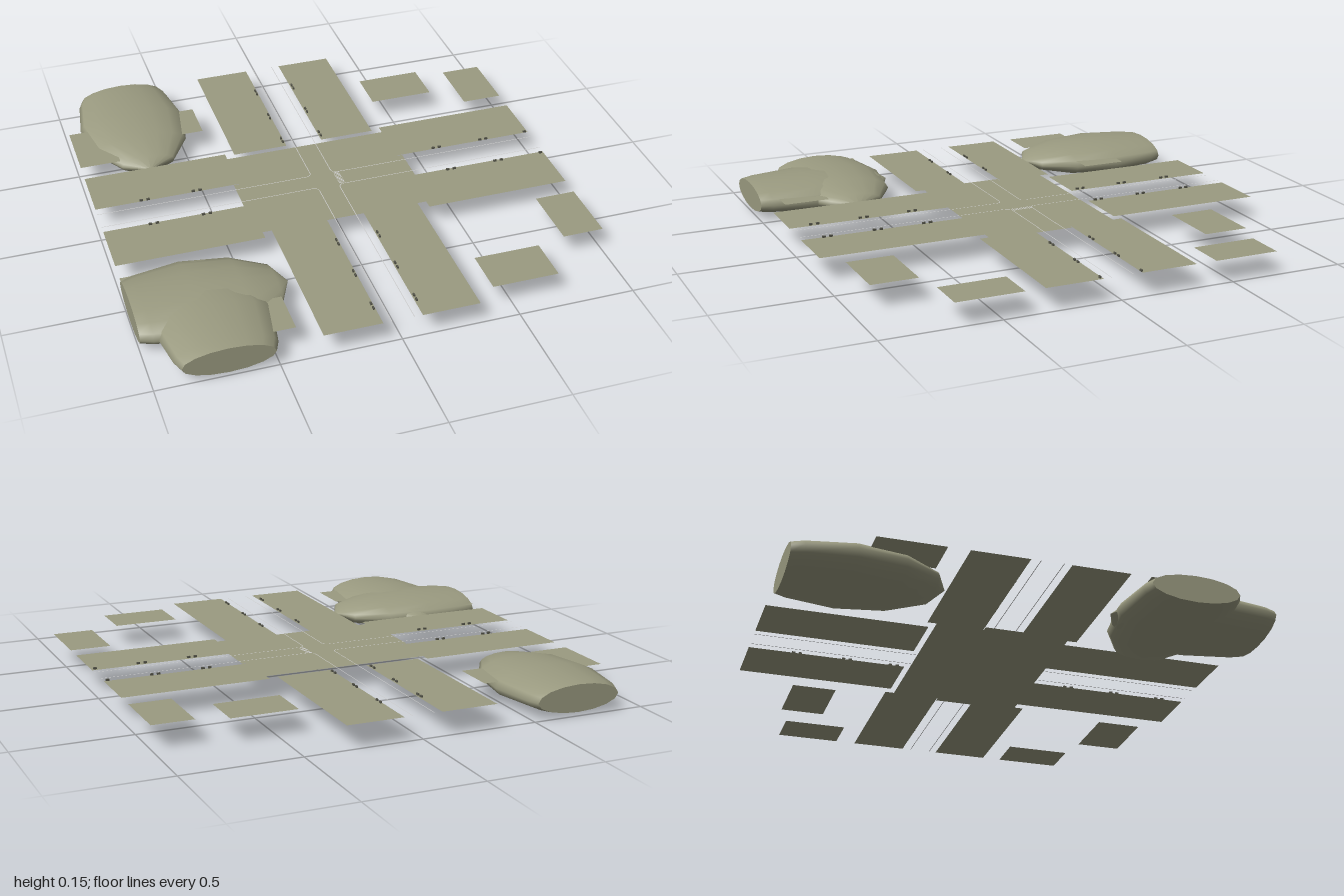
import * as THREE from 'three';

const LEVEL = 0.107;
const olive = new THREE.MeshStandardMaterial({ color: 0x9a9a80, side: THREE.DoubleSide });
const grey = new THREE.MeshStandardMaterial({ color: 0xcccccc, side: THREE.DoubleSide });
const dark = new THREE.MeshStandardMaterial({ color: 0x55554a });

// Flat rectangle lying on the ground level
function slab(parent, name, x0, x1, z0, z1, y = LEVEL, material = olive) {
  const mesh = new THREE.Mesh(new THREE.PlaneGeometry(x1 - x0, z1 - z0).rotateX(-Math.PI / 2), material);
  mesh.position.set((x0 + x1) / 2, y, (z0 + z1) / 2);
  mesh.name = name;
  parent.add(mesh);
}

// Flattened ellipsoid, long along its axis and sliced off at the plot border
function mound(name, x, z, turn) {
  const group = new THREE.Group();
  const cut = -0.625;
  const profile = [];
  for (const a of [120, 90, 60, 30, 0]) {
    const t = THREE.MathUtils.degToRad(a);
    profile.push(new THREE.Vector2(Math.sin(t), Math.cos(t)));
  }
  const rim = Math.sqrt(1 - cut * cut);
  profile.unshift(new THREE.Vector2(rim, cut));
  const shape = (points) => new THREE.LatheGeometry(points, 16)
    .scale(0.24, 0.4, 0.075).rotateX(Math.PI / 2).rotateY(turn);
  const body = new THREE.Mesh(shape(profile), olive);
  body.name = name + 'Body';
  const cap = new THREE.Mesh(shape([new THREE.Vector2(0, cut), new THREE.Vector2(rim, cut)]), olive);
  cap.name = name + 'Cap';
  group.add(body, cap);
  group.position.set(x, 0.082, z);
  group.name = name;
  return group;
}

export function createModel() {
  const model = new THREE.Group();

  // Crossing in the middle
  const crossing = new THREE.Group();
  crossing.name = 'crossing';
  slab(crossing, 'crossingCentre', -0.365, 0.365, -0.29, 0.285);
  slab(crossing, 'crossingWestEdge', -0.39, -0.365, -0.085, 0.08);
  slab(crossing, 'crossingEastEdge', 0.365, 0.39, -0.085, 0.08);
  model.add(crossing);

  // Pavement strips along the four arms
  const pavements = new THREE.Group();
  pavements.name = 'pavements';
  for (const [a, b] of [[-0.325, -0.082], [0.082, 0.325]]) {
    slab(pavements, 'backPavement', a, b, -1, -0.315);
    slab(pavements, 'frontPavement', a, b, 0.285, 1);
  }
  for (const [a, b] of [[-0.33, -0.088], [0.08, 0.325]]) {
    slab(pavements, 'rightPavement', -1, -0.365, a, b);
    slab(pavements, 'leftPavement', 0.365, 1, a, b);
  }
  model.add(pavements);

  // Building plots in the corners
  const plots = new THREE.Group();
  plots.name = 'plots';
  for (const s of [-1, 1]) {
    const span = (a, b) => (s > 0 ? [a, b] : [-b, -a]);
    for (const [z0, z1] of [[-0.745, -0.55], [0.72, 0.92]]) slab(plots, 'innerPlot', ...span(0.412, 0.697), z0, z1);
    for (const [z0, z1] of [[-0.70, -0.42], [0.41, 0.697]]) slab(plots, 'outerPlot', ...span(0.822, 1), z0, z1);
  }
  model.add(plots);

  // Thin lane lines, with rounded corners in the crossing
  const lines = new THREE.Group();
  lines.name = 'laneLines';
  const w = 0.0015, top = LEVEL + 0.001;
  for (const s of [-1, 1]) {
    for (const e of [-1, 1]) {
      const c = 0.047 * s;
      const [a, b] = e > 0 ? [0.07, 1] : [-1, -0.07];
      slab(lines, 'laneLine', c - w, c + w, a, b, top, grey);
      slab(lines, 'laneLine', a, b, c - w, c + w, top, grey);
      const arc = new THREE.Mesh(
        new THREE.RingGeometry(0.023 - w, 0.023 + w, 6, 1, 0, Math.PI / 2).rotateX(-Math.PI / 2), grey);
      arc.rotation.y = s > 0 ? (e > 0 ? Math.PI / 2 : Math.PI) : (e > 0 ? 0 : -Math.PI / 2);
      arc.position.set(0.07 * s, top, 0.07 * e);
      arc.name = 'cornerLine';
      lines.add(arc);
    }
  }
  model.add(lines);

  // Striped pedestrian crossing
  const stripes = new THREE.Group();
  stripes.name = 'crosswalk';
  for (let i = 0; i < 9; i++) {
    const z = -0.042 + i * 0.01;
    slab(stripes, 'stripe', 0.052, 0.078, z - 0.0025, z + 0.0025, top, grey);
  }
  model.add(stripes);

  // Pairs of tiny kerb posts beside each carriageway
  const posts = new THREE.Group();
  posts.name = 'kerbPosts';
  const block = new THREE.BoxGeometry(0.007, 0.008, 0.014);
  const post = (x, z, turn) => {
    const mesh = new THREE.Mesh(block, dark);
    mesh.position.set(x, LEVEL + 0.005, z);
    mesh.rotation.y = turn;
    mesh.name = 'kerbPost';
    posts.add(mesh);
  };
  for (const side of [-0.09, 0.09]) {
    for (const z of [-0.79, -0.57, -0.36, 0.45, 0.67, 0.89]) {
      for (const d of [-0.015, 0.015]) post(side, z + d, 0);
    }
    for (const x of [-0.785, -0.555, 0.555, 0.78]) {
      for (const d of [-0.015, 0.015]) post(x + d, side, Math.PI / 2);
    }
    post(0.985, side, Math.PI / 2);
  }
  model.add(posts);

  // Rounded mounds on the right-hand corners
  model.add(mound('backMound', -0.70, -0.75, 0));
  model.add(mound('frontMound', -0.70, 0.75, Math.PI));
  model.add(mound('sideMound', -0.75, 0.60, Math.PI / 2));

  return model;
}
